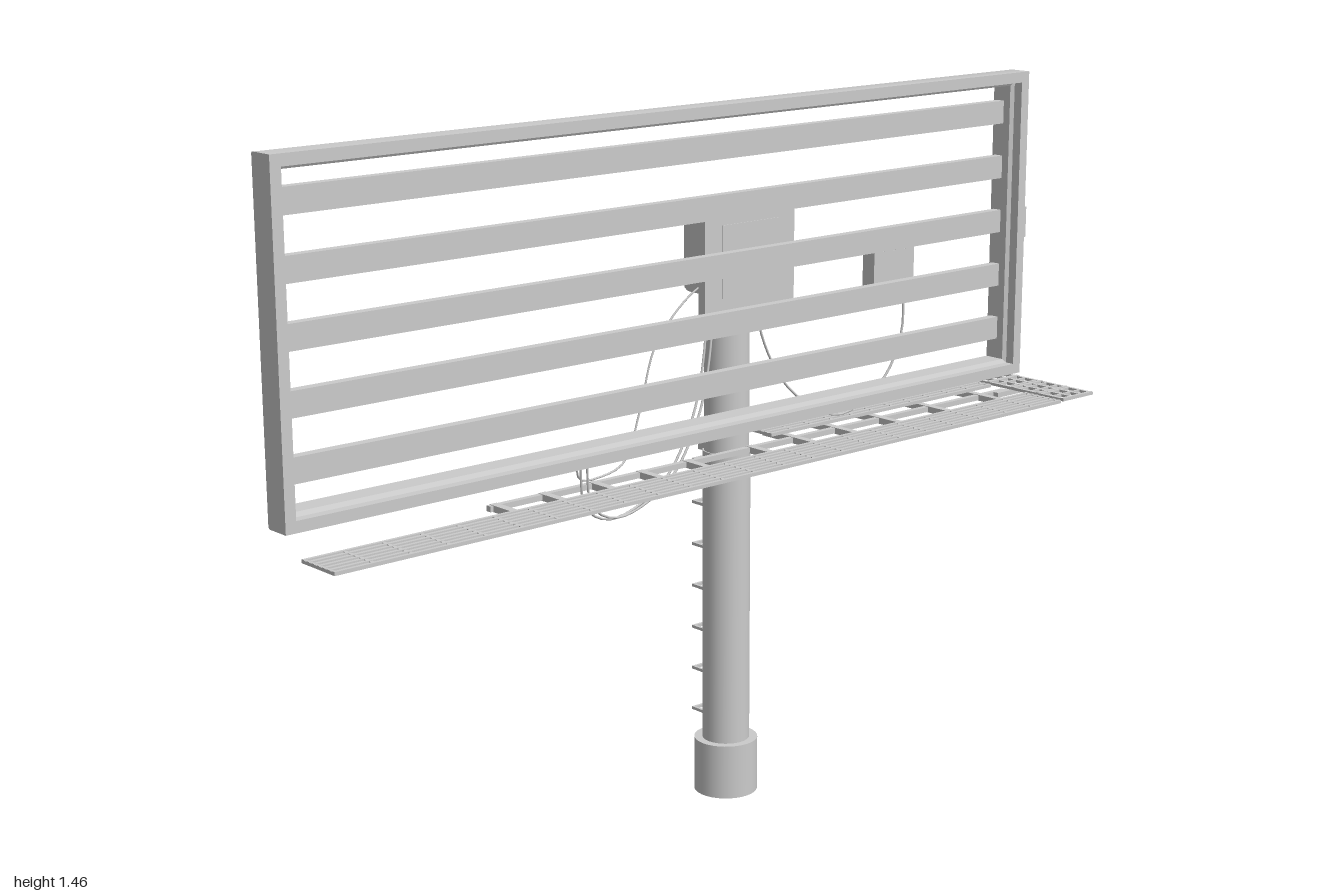
import * as THREE from 'three';
import { toCreasedNormals } from 'three/addons/utils/BufferGeometryUtils.js';

const material = new THREE.MeshStandardMaterial({ color: 0xcccccc });
const POLE_X = 0.137, POLE_Z = -0.085;

function add(parent, name, geometry, x = 0, y = 0, z = 0) {
  const mesh = new THREE.Mesh(geometry, material);
  mesh.name = name;
  mesh.position.set(x, y, z);
  parent.add(mesh);
  return mesh;
}

// Box given by its limits on each axis
function block(parent, name, x0, x1, y0, y1, z0, z1) {
  return add(parent, name, new THREE.BoxGeometry(x1 - x0, y1 - y0, z1 - z0),
    (x0 + x1) / 2, (y0 + y1) / 2, (z0 + z1) / 2);
}

function tube(parent, name, points, radius, segments = 32) {
  const curve = new THREE.CatmullRomCurve3(points.map(p => new THREE.Vector3(...p)));
  return add(parent, name, new THREE.TubeGeometry(curve, segments, radius, 6));
}

// Rectangle [x0, x1, y0, y1] at depth z, counter-clockwise from the front
const rect = (x0, x1, y0, y1, z) => [[x0, y0, z], [x1, y0, z], [x1, y1, z], [x0, y1, z]];

// Skin through rectangular rings; a closed loft joins last to first, an open one is capped
function loft(rings, closed) {
  const pos = [];
  const quad = (a, b, c, d) => pos.push(...a, ...b, ...c, ...a, ...c, ...d);
  const n = rings.length;
  for (let k = 0; k < (closed ? n : n - 1); k++) {
    const r = rings[k], s = rings[(k + 1) % n];
    for (let i = 0; i < 4; i++) {
      const j = (i + 1) % 4;
      quad(r[i], s[i], s[j], r[j]);
    }
  }
  if (!closed) {
    quad(...rings[0]);
    quad(...rings[n - 1].slice().reverse());
  }
  const geometry = new THREE.BufferGeometry();
  geometry.setAttribute('position', new THREE.Float32BufferAttribute(pos, 3));
  return toCreasedNormals(geometry, 0.6);
}

// Open grating: evenly spaced bars in both directions
function grating(parent, name, x0, x1, z0, z1, alongX, alongZ) {
  const group = new THREE.Group();
  group.name = name;
  parent.add(group);
  const w = 0.0035;
  for (let i = 0; i < alongX; i++) {
    const z = THREE.MathUtils.lerp(z0 + w, z1 - w, i / (alongX - 1));
    block(group, 'gratingBar', x0, x1, 0.754, 0.761, z - w, z + w);
  }
  for (let i = 0; i < alongZ; i++) {
    const x = THREE.MathUtils.lerp(x0 + w, x1 - w, i / (alongZ - 1));
    block(group, 'gratingCrossBar', x - w, x + w, 0.754, 0.76, z0, z1);
  }
}

export function createModel() {
  const model = new THREE.Group();
  model.name = 'billboardFrame';

  // Panel frame with rounded rear edges: [inset, z] profile
  const profile = [[0, 0.05], [0, 0.002]];
  for (let i = 1; i <= 5; i++) {
    const a = i / 5 * Math.PI / 2;
    profile.push([0.022 * (1 - Math.cos(a)), 0.002 - 0.022 * Math.sin(a)]);
  }
  profile.push([0.03, -0.02], [0.03, 0.025], [0.022, 0.03], [0.022, 0.05]);
  add(model, 'panelFrame', loft(profile.map(([d, z]) =>
    rect(-1 + d, 0.875 - d, 0.805 + d, 1.455 - d, z)), true));

  // Horizontal slats
  for (let i = 0; i < 5; i++) {
    const y = 1.368 - i * 0.1165;
    block(model, 'slat', -0.977, 0.852, y - 0.024, y + 0.024, -0.012, 0.008);
  }
  block(model, 'sideBox', 0.87, 0.89, 1.1, 1.165, 0.023, 0.041);

  // Mounting plate and rounded head
  block(model, 'mountingPlate', 0.017, 0.257, 1.015, 1.258, -0.036, -0.017);
  const rings = [rect(0.063, 0.212, 1.065, 1.21, -0.015)];
  for (let i = 0; i <= 6; i++) {
    const a = i / 6 * Math.PI / 2, s = 1 - Math.cos(a);
    rings.push(rect(0.063 + 0.045 * s, 0.212 - 0.045 * s,
      1.065 + 0.035 * s, 1.21 - 0.04 * s, -0.11 - 0.05 * Math.sin(a)));
  }
  add(model, 'mountingHead', loft(rings, false));

  // Pole
  const cylinder = (name, r, y0, y1) => add(model, name,
    new THREE.CylinderGeometry(r, r, y1 - y0, 32), POLE_X, (y0 + y1) / 2, POLE_Z);
  cylinder('poleBase', 0.066, 0, 0.115);
  cylinder('lowerPole', 0.049, 0.1, 0.735);
  cylinder('upperPole', 0.046, 0.73, 1.09);
  block(model, 'poleClamp', 0.107, 0.167, 0.73, 0.77, -0.138, -0.105);

  // Climbing rungs on the back of the pole
  for (let i = 0; i < 7; i++) {
    const y = 0.165 + i * 0.09;
    for (const s of [-1, 1]) {
      const x = POLE_X + s * 0.028;
      block(model, 'rungSide', x - 0.003, x + 0.003, y - 0.003, y + 0.003, -0.156, -0.115);
    }
    block(model, 'rung', POLE_X - 0.031, POLE_X + 0.031, y - 0.003, y + 0.003, -0.156, -0.15);
  }

  // Walkway gratings
  grating(model, 'frontWalkway', -0.977, 0.887, 0.06, 0.16, 7, 24);
  grating(model, 'rearWalkway', 0.222, 0.887, -0.142, -0.042, 7, 12);
  grating(model, 'endWalkway', 0.902, 1, -0.137, 0.153, 5, 4);
  for (let i = 0; i < 10; i++) {
    const z = -0.133 + i * 0.0315;
    block(model, 'endWalkwayBar', 0.902, 1, 0.754, 0.76, z - 0.003, z + 0.003);
  }

  // Support ladder under the walkway
  block(model, 'supportRail', -0.52, 0.9, 0.742, 0.753, 0.038, 0.05);
  block(model, 'supportRail', -0.52, 0.9, 0.742, 0.753, -0.022, -0.01);
  for (const x of [-0.505, -0.39, -0.27, -0.15, -0.03, 0.14, 0.26, 0.38, 0.51, 0.66, 0.82]) {
    block(model, 'supportBeam', x - 0.008, x + 0.008, 0.741, 0.754, x > 0.2 ? -0.1 : -0.022, 0.11);
  }
  block(model, 'endSupport', 0.86, 0.98, 0.742, 0.753, -0.01, 0.003);

  // Finned control unit on the back of the slats
  for (let i = 0; i < 4; i++) {
    const x = 0.482 + i * 0.031;
    block(model, 'controlFin', x, x + 0.025, 1, 1.125, -0.045, -0.012);
  }
  block(model, 'controlBacking', 0.485, 0.597, 1.02, 1.105, -0.026, -0.012);

  // Hanging cables
  tube(model, 'cable', [[0.06, 1.1, -0.04], [0.01, 1.08, -0.045], [-0.09, 0.99, -0.04],
    [-0.135, 0.87, -0.035], [-0.18, 0.775, -0.03], [-0.26, 0.76, -0.015],
    [-0.325, 0.775, 0.01], [-0.345, 0.815, 0.025]], 0.002);
  for (const d of [0, 0.016]) {
    tube(model, 'cable', [[0.068 + d, 1.075, -0.07], [0.055 + d, 0.96, -0.06], [0.005 + d, 0.83, -0.04],
      [-0.09 + d, 0.72, -0.02], [-0.23 + d, 0.675, -0.005], [-0.31 + d, 0.715, 0.01],
      [-0.335 + d, 0.815, 0.025]], 0.0025);
  }
  tube(model, 'cable', [[0.2, 1.08, -0.07], [0.22, 0.96, -0.07], [0.29, 0.84, -0.06],
    [0.42, 0.768, -0.045], [0.54, 0.83, -0.035], [0.585, 0.92, -0.03], [0.59, 1.01, -0.03]], 0.0025);

  return model;
}
